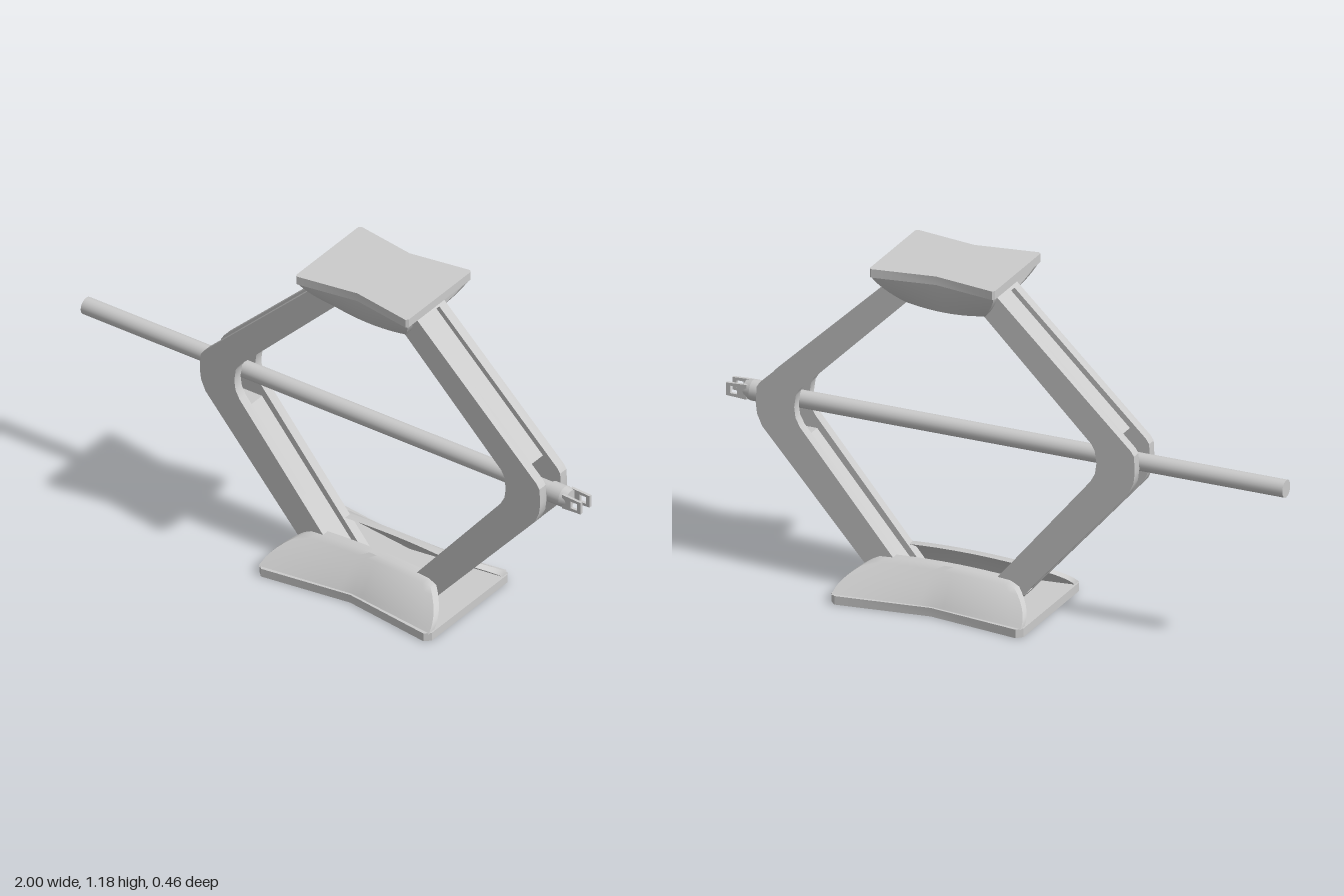
import * as THREE from 'three';
import { toCreasedNormals } from 'three/addons/utils/BufferGeometryUtils.js';

const CX = 0.19;      // middle of the diamond frame
const SCREW_Y = 0.597;
const WALL = 0.075;   // half width of an arm
const GROOVE = 0.04;  // half width of the channel between its walls

// Edges of one arm pair, from top to bottom, measured from the frame's middle
const OUTER = [[0.147, 1.155], [0.667, 0.662], [0.678, 0.645], [0.681, 0.588], [0.676, 0.55], [0.658, 0.51], [0.233, 0.03]];
const INNER = [[0.025, 1.155], [0.525, 0.662], [0.537, 0.64], [0.543, 0.597], [0.538, 0.56], [0.522, 0.53], [0.103, 0.03]];

// Width of an edge line at a given height
function edgeAt(edge, y) {
  for (let i = 1; i < edge.length; i++) {
    const [x0, y0] = edge[i - 1], [x1, y1] = edge[i];
    if (y >= y1) return x0 + (x1 - x0) * (y - y0) / (y1 - y0);
  }
  return edge[edge.length - 1][0];
}

export function createModel() {
  const root = new THREE.Group();
  const mat = new THREE.MeshStandardMaterial({ color: 0xcccccc });

  function add(name, geo, x = 0, y = 0, z = 0, parent = root) {
    const mesh = new THREE.Mesh(geo, mat);
    mesh.name = name;
    mesh.position.set(x, y, z);
    parent.add(mesh);
    return mesh;
  }

  function slab(points, depth) {
    const shape = new THREE.Shape(points.map(p => new THREE.Vector2(p[0], p[1])));
    const geo = new THREE.ExtrudeGeometry(shape, { depth, bevelEnabled: false });
    return toCreasedNormals(geo, 0.5);
  }

  // Arms: two bent side walls joined by recessed webs and solid ends
  for (const side of [-1, 1]) {
    const arms = new THREE.Group();
    arms.name = side > 0 ? 'leftArms' : 'rightArms';
    arms.position.x = CX;
    root.add(arms);
    const outline = [...OUTER, ...[...INNER].reverse()].map(([x, y]) => [side * x, y]);
    for (const z of [-WALL, GROOVE]) add('armWall', slab(outline, WALL - GROOVE), 0, 0, z, arms);

    const filler = (name, yLow, yHigh, inset) => {
      const at = (y, f) => [side * THREE.MathUtils.lerp(edgeAt(INNER, y), edgeAt(OUTER, y), f), y];
      const pts = [at(yLow, inset), at(yLow, 1 - inset), at(yHigh, 1 - inset), at(yHigh, inset)];
      add(name, slab(pts, 2 * GROOVE), 0, 0, -GROOVE, arms);
    };
    filler('upperWeb', 0.69, 1.12, 0.2);
    filler('lowerWeb', 0.05, 0.485, 0.2);
    filler('upperArmEnd', 1.11, 1.155, 0);
    filler('lowerArmEnd', 0.03, 0.062, 0);
  }

  // Plates with pinched long sides and clipped corners
  function plate(name, y, halfX, cornerZ, midZ, clip) {
    const quarter = [[halfX, cornerZ - clip], [halfX - clip, cornerZ]];
    const pts = [
      ...quarter, [0, midZ],
      ...quarter.map(([x, z]) => [-x, z]).reverse(),
      ...quarter.map(([x, z]) => [-x, -z]), [0, -midZ],
      ...quarter.map(([x, z]) => [x, -z]).reverse(),
    ];
    const geo = slab(pts, 0.03);
    geo.rotateX(-Math.PI / 2);
    add(name, geo, CX, y, 0);
  }
  plate('basePlate', 0, 0.345, 0.23, 0.185, 0.02);
  plate('topPlate', 1.155, 0.225, 0.18, 0.145, 0.008);

  // Flared sheets from the arm walls (t = 1) out to the plate rim (t = 0)
  function flare(name, o) {
    const geo = new THREE.BoxGeometry(2, 1, 1, 16, 8, 1);
    const p = geo.attributes.position;
    const up = o.y1 > o.y0;
    for (let i = 0; i < p.count; i++) {
      const s = p.getX(i);
      const t = up ? p.getY(i) + 0.5 : 0.5 - p.getY(i);
      const w = p.getZ(i) + 0.5;
      const rim = THREE.MathUtils.lerp(o.midZ, o.cornerZ, Math.abs(s));
      const halfX = THREE.MathUtils.lerp(o.x0, o.x1, t ** o.curve);
      const y = THREE.MathUtils.lerp(o.y0, o.y1, t) + o.crown * t * (1 - s * s);
      const z = THREE.MathUtils.lerp(rim, WALL + 0.003, t) + 0.03 * t * (1 - t) - 0.03 * (1 - w);
      p.setXYZ(i, s * halfX, y, z);
    }
    const smooth = toCreasedNormals(geo, 0.7);
    add(name + 'Front', smooth, CX);
    add(name + 'Back', smooth, CX).rotation.y = Math.PI;
  }
  flare('baseFlare', { y0: 0.028, y1: 0.128, x0: 0.34, x1: 0.235, curve: 2, cornerZ: 0.222, midZ: 0.178, crown: 0.01 });
  flare('topFlare', { y0: 1.157, y1: 1.045, x0: 0.22, x1: 0.145, curve: 1.3, cornerZ: 0.175, midZ: 0.14, crown: -0.014 });

  // Screw and its collar, lying along x
  function rod(name, x0, x1, r0, r1) {
    const geo = new THREE.CylinderGeometry(r1, r0, x1 - x0, 24);
    geo.rotateZ(-Math.PI / 2);
    add(name, geo, (x0 + x1) / 2, SCREW_Y, 0);
  }
  rod('screw', -1, 0.88, 0.03, 0.03);
  rod('screwCollar', 0.865, 0.915, 0.036, 0.036);
  rod('collarTaper', 0.915, 0.94, 0.036, 0.03);

  // Fork at the crank end: two prongs with square holes
  const prong = new THREE.Shape([[0.925, -0.026], [1, -0.022], [1, 0.022], [0.925, 0.026]].map(p => new THREE.Vector2(...p)));
  prong.holes.push(new THREE.Path([[0.96, -0.013], [0.96, 0.013], [0.985, 0.013], [0.985, -0.013]].map(p => new THREE.Vector2(...p))));
  const prongGeo = new THREE.ExtrudeGeometry(prong, { depth: 0.01, bevelEnabled: false });
  for (const z of [-0.03, 0.02]) add('forkProng', prongGeo, 0, SCREW_Y, z);

  return root;
}
